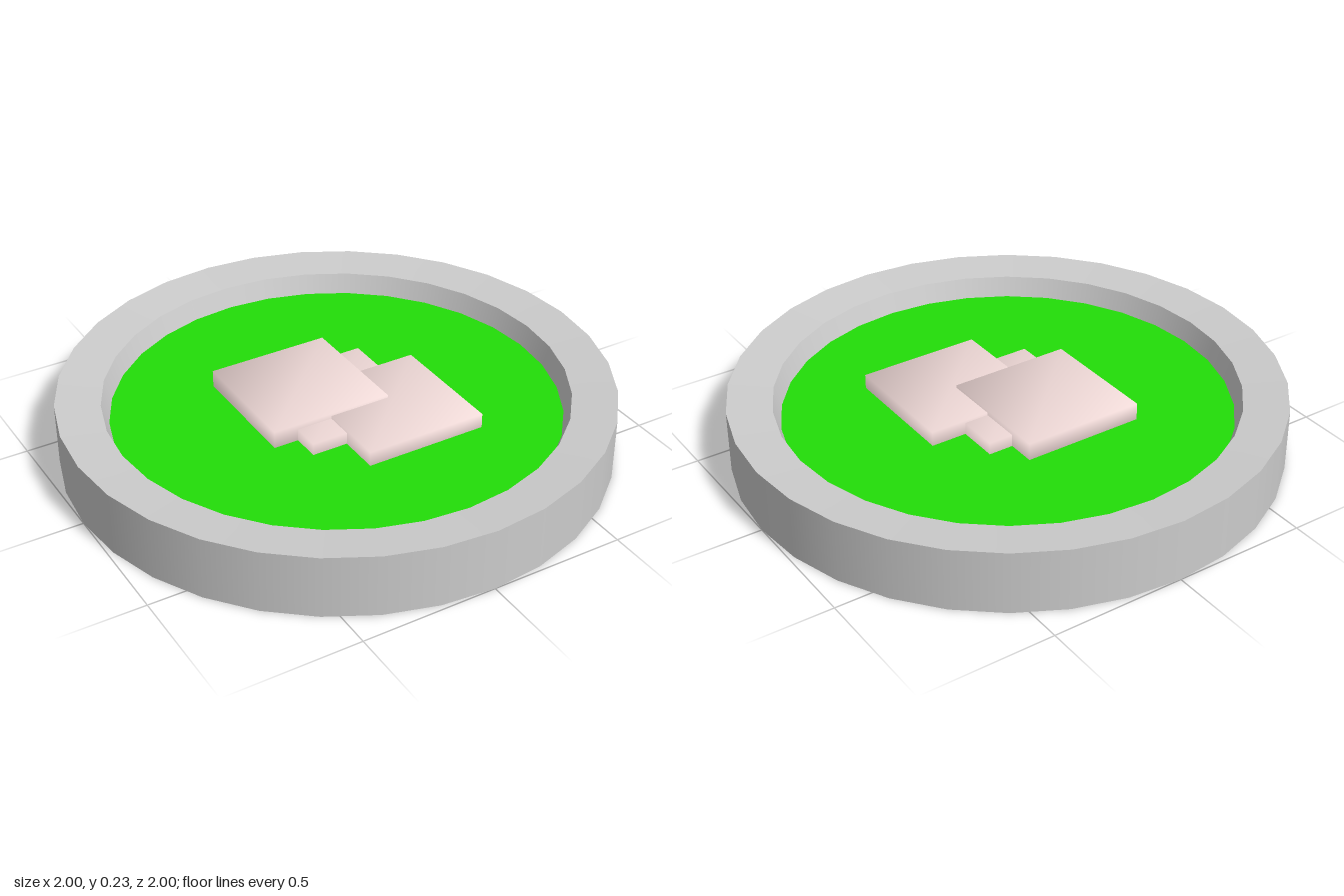
import * as THREE from 'three';
import { mergeGeometries, mergeVertices } from 'three/addons/utils/BufferGeometryUtils.js';

const SIDES = 32;

function addMesh(group, name, geometry, color, y = 0) {
  const mesh = new THREE.Mesh(geometry, new THREE.MeshStandardMaterial({ color }));
  mesh.name = name;
  mesh.position.y = y;
  group.add(mesh);
  return mesh;
}

// Ring turned from a closed profile: smooth around, sharp between bands
function ringGeometry(profile) {
  const bands = profile.map((p, i) => {
    const q = profile[(i + 1) % profile.length];
    return new THREE.LatheGeometry([new THREE.Vector2(...p), new THREE.Vector2(...q)], SIDES);
  });
  return mergeGeometries(bands);
}

// Box with shared corners, so its shading is soft
function softBox(w, h, d) {
  const box = new THREE.BoxGeometry(w, h, d);
  box.deleteAttribute('normal');
  box.deleteAttribute('uv');
  const soft = mergeVertices(box);
  soft.computeVertexNormals();
  return soft;
}

export function createModel() {
  const model = new THREE.Group();
  model.name = 'roundDish';

  // Rim, slightly dished towards the disc on both faces
  const rim = ringGeometry([
    [1, 0], [1, 0.235], [0.838, 0.221], [0.813, 0.145], [0.813, 0.087], [0.836, 0.014],
  ]);
  addMesh(model, 'rim', rim, 0xcccccc);

  // Green disc set at mid height
  addMesh(model, 'disc', new THREE.CylinderGeometry(0.825, 0.825, 0.06, SIDES), 0x22dd08, 0.116);

  // Three overlapping square slabs passing through the disc: x, y, z of centres
  const slabs = [
    [-0.093, 0.142, -0.105],
    [0, 0.122, 0],
    [0.135, 0.132, 0.155],
  ];
  slabs.forEach(([x, y, z], i) => {
    const slab = addMesh(model, 'slab' + (i + 1), softBox(0.462, 0.138, 0.462), 0xeed8d6);
    slab.position.set(x, y, z);
  });

  return model;
}
